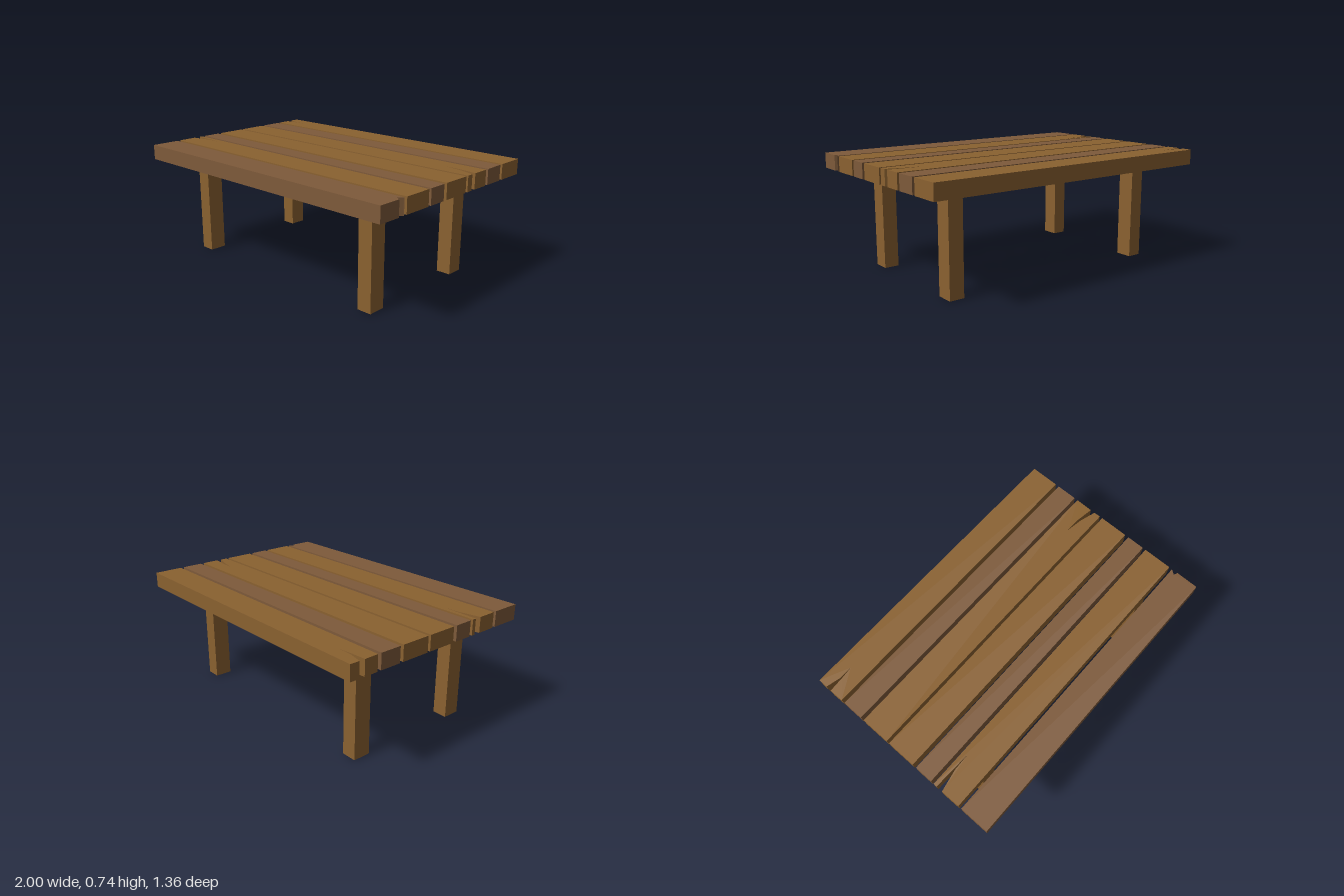
import * as THREE from 'three';

const TILT = 0.0105;      // slight skew of the whole table about y
const DECK_Y = 0.64, DECK_H = 0.098;

const wood = new THREE.MeshStandardMaterial({ color: 0x8a6130, flatShading: true });
const darkWood = new THREE.MeshStandardMaterial({ color: 0x7e5a3a, flatShading: true });
const legWood = new THREE.MeshStandardMaterial({ color: 0x8a6130, flatShading: true, side: THREE.DoubleSide });

// Planks from back to front: z of the back and front edge at mid-length,
// with optional [x, z] points of a split in the left (-x) or right (+x) end.
const PLANKS = [
  { back: -0.674, front: -0.485, mat: wood,
    minusX: [[-1, -0.603], [-0.91, -0.582], [-0.82, -0.582], [-0.9, -0.573], [-1, -0.566]] },
  { back: -0.461, front: -0.323, mat: darkWood },
  { back: -0.3, front: -0.11, mat: wood,
    plusX: [[0.988, -0.165], [0.885, -0.195], [0.775, -0.212], [0.87, -0.212], [0.988, -0.196]] },
  { back: -0.091, front: 0.099, mat: wood },
  { back: 0.125, front: 0.243, mat: darkWood },
  { back: 0.264, front: 0.454, mat: wood,
    minusX: [[-0.99, 0.298], [-0.74, 0.305], [-0.85, 0.31], [-0.99, 0.34]] },
  { back: 0.476, front: 0.666, mat: darkWood,
    plusX: [[0.997, 0.508], [0.972, 0.497], [0.992, 0.47]] },
];

// Corner of a plank, following the skew
const corner = (x, z) => [x + z * TILT, z - x * TILT];

function plank({ back, front, mat, minusX = [], plusX = [] }) {
  const outline = [
    corner(-0.992, back), ...minusX, corner(-0.992, front),
    corner(0.991, front), ...plusX, corner(0.991, back),
  ];
  const shape = new THREE.Shape(outline.map(([x, z]) => new THREE.Vector2(x, -z)));
  const geo = new THREE.ExtrudeGeometry(shape, { depth: DECK_H, bevelEnabled: false });
  geo.rotateX(-Math.PI / 2).translate(0, DECK_Y, 0);
  return new THREE.Mesh(geo, mat);
}

export function createModel() {
  const table = new THREE.Group();
  table.name = 'table';

  // Table top
  const top = new THREE.Group();
  top.name = 'tableTop';
  PLANKS.forEach((p, i) => {
    const mesh = plank(p);
    mesh.name = `plank${i + 1}`;
    top.add(mesh);
  });
  table.add(top);

  // Hollow square legs, open at the ends
  const legGeo = new THREE.CylinderGeometry(Math.SQRT1_2, Math.SQRT1_2, 1, 4, 1, true);
  legGeo.rotateY(Math.PI / 4).scale(0.096, DECK_Y, 0.112).translate(0, DECK_Y / 2, 0);
  const legs = new THREE.Group();
  legs.name = 'legs';
  for (const sx of [-1, 1]) {
    for (const sz of [-1, 1]) {
      const leg = new THREE.Mesh(legGeo, legWood);
      leg.name = (sz > 0 ? 'front' : 'back') + (sx > 0 ? 'Left' : 'Right') + 'Leg';
      leg.position.set(sx * 0.727, 0, sz * 0.39);
      legs.add(leg);
    }
  }
  legs.rotation.y = TILT;
  legs.position.set(-0.012, 0, 0.006);
  table.add(legs);

  return table;
}
